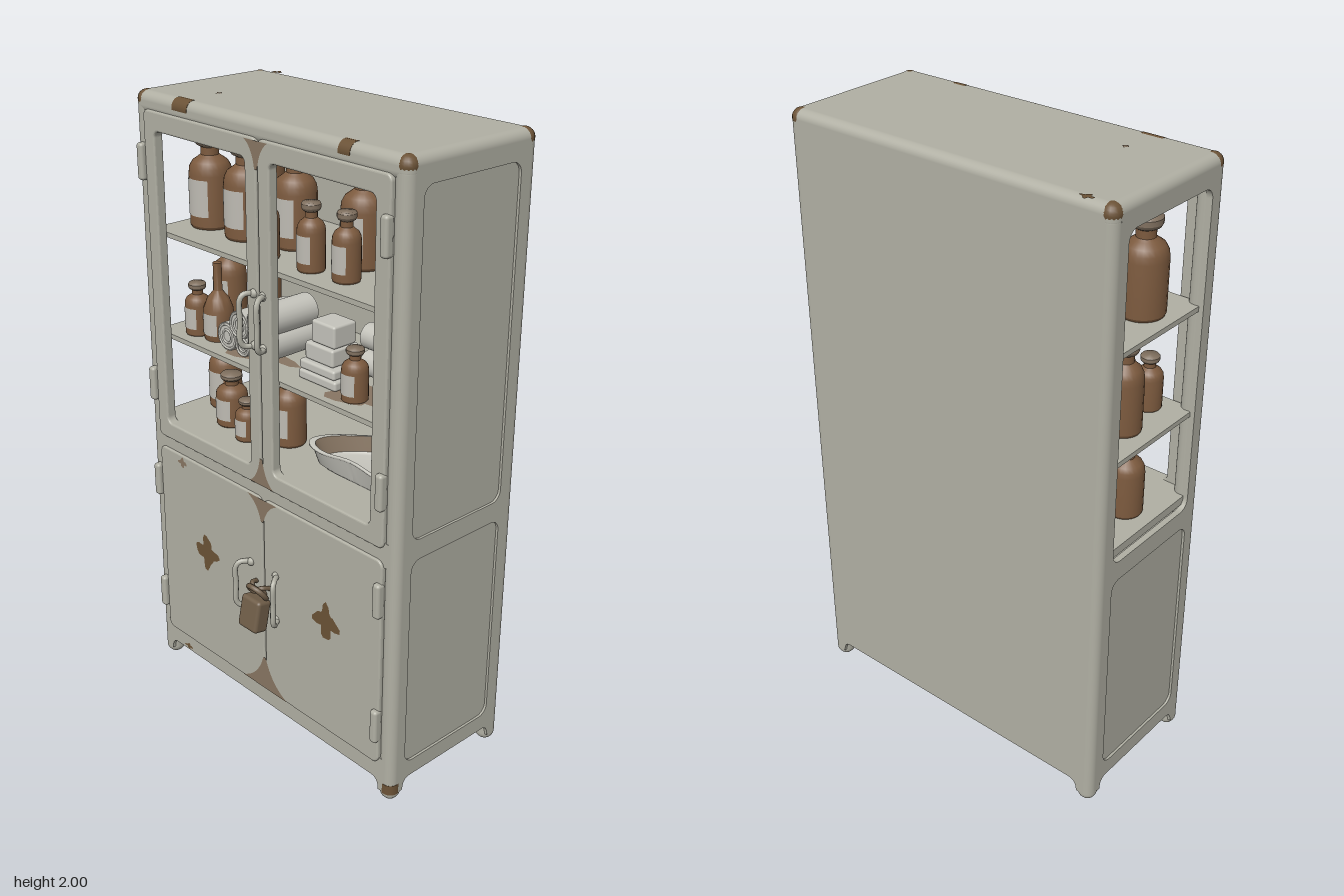
import * as THREE from 'three';
import { RoundedBoxGeometry } from 'three/addons/geometries/RoundedBoxGeometry.js';
import { toCreasedNormals } from 'three/addons/utils/BufferGeometryUtils.js';

const mat = (name, color) => {
  const m = new THREE.MeshStandardMaterial({ color, side: THREE.DoubleSide });
  m.name = name;
  return m;
};
const paint = mat('enamel paint', 0xb0afa3);
const glass = mat('amber glass', 0x7c5a3e);
const cork = mat('stopper', 0x80705f);
const paper = mat('paper label', 0xbdbab2);
const linen = mat('linen', 0xc4c3bb);
const rust = mat('rust', 0x6b5236);
const worn = mat('worn paint', 0x877562);
const brass = mat('old brass', 0x6f5d48);

export function createModel() {
  const root = new THREE.Group();
  root.name = 'medicineCabinet';
  const add = (name, geo, m, x = 0, y = 0, z = 0, parent = root) => {
    const mesh = new THREE.Mesh(geo, m);
    mesh.name = name;
    mesh.position.set(x, y, z);
    parent.add(mesh);
    return mesh;
  };
  const box = (name, m, x0, x1, y0, y1, z0, z1) =>
    add(name, new THREE.BoxGeometry(x1 - x0, y1 - y0, z1 - z0), m, (x0 + x1) / 2, (y0 + y1) / 2, (z0 + z1) / 2);
  const roundRect = (x0, x1, y0, y1, r, C = THREE.Shape) => {
    const s = new C();
    s.absarc(x1 - r, y0 + r, r, -Math.PI / 2, 0);
    s.absarc(x1 - r, y1 - r, r, 0, Math.PI / 2);
    s.absarc(x0 + r, y1 - r, r, Math.PI / 2, Math.PI);
    s.absarc(x0 + r, y0 + r, r, Math.PI, Math.PI * 1.5);
    s.closePath();
    return s;
  };
  // Wall outline with curved brackets running down into the feet
  const apron = (a, b, top) => {
    const s = new THREE.Shape();
    s.moveTo(a, top);
    s.lineTo(a, 0.03);
    s.lineTo(a + 0.024, 0.03);
    s.quadraticCurveTo(a + 0.024, 0.07, a + 0.055, 0.07);
    s.lineTo(b - 0.055, 0.07);
    s.quadraticCurveTo(b - 0.024, 0.07, b - 0.024, 0.03);
    s.lineTo(b, 0.03);
    s.lineTo(b, top);
    s.closePath();
    return s;
  };
  const extrude = (s, depth) => new THREE.ExtrudeGeometry(s, { depth, bevelEnabled: false, curveSegments: 8 });

  // Carcass: corner posts, rounded top, back, floors and shelves
  for (const x of [-0.54, 0.54]) for (const z of [-0.26, 0.18])
    add('cornerPost', new RoundedBoxGeometry(0.06, 1.98, 0.06, 4, 0.028), paint, x, 0.99, z);
  add('top', new RoundedBoxGeometry(1.14, 0.07, 0.5, 5, 0.028), paint, 0, 1.965, -0.04);
  add('back', extrude(apron(-0.541, 0.541, 1.965), 0.02), paint, 0, 0, -0.29);
  add('frontApron', extrude(apron(-0.541, 0.541, 0.15), 0.02), paint, 0, 0, 0.19);
  box('middleRail', paint, -0.54, 0.54, 0.82, 0.9, 0.17, 0.21);
  box('bottom', paint, -0.555, 0.555, 0.08, 0.1, -0.28, 0.2);
  box('cabinetFloor', paint, -0.555, 0.555, 0.91, 0.937, -0.28, 0.19);
  for (const y of [1.222, 1.56]) box('shelf', paint, -0.555, 0.555, y - 0.008, y + 0.008, -0.275, 0.175);

  // Side frames with rounded openings; the upper one on the right stays open
  for (const side of [-1, 1]) {
    const s = apron(-0.181, 0.261, 1.965);
    s.holes.push(roundRect(-0.15, 0.225, 0.9, 1.92, 0.035, THREE.Path));
    s.holes.push(roundRect(-0.15, 0.225, 0.125, 0.835, 0.035, THREE.Path));
    add('sideFrame', extrude(s, 0.02), paint, side > 0 ? 0.55 : -0.57).rotation.y = Math.PI / 2;
    const x = side * 0.552;
    box('lowerSidePanel', paint, x - 0.01, x + 0.01, 0.1, 0.87, -0.26, 0.18);
    if (side > 0) box('upperSidePanel', paint, x - 0.01, x + 0.01, 0.87, 1.95, -0.26, 0.18);
  }

  // Doors, hinges and handles
  const doorOpt = { depth: 0.022, bevelSize: 0.006, bevelThickness: 0.006, bevelOffset: -0.006, bevelSegments: 3, curveSegments: 6 };
  const handle = (s, y, x0, x1) => {
    const h = 0.08, z0 = 0.212, z1 = 0.257;
    const pts = [[x0, -h, z0], [(x0 + 3 * x1) / 4, -h, z1 - 0.012], [x1, -h + 0.016, z1], [x1, 0, z1],
      [x1, h - 0.016, z1], [(x0 + 3 * x1) / 4, h, z1 - 0.012], [x0, h, z0]];
    const c = new THREE.CatmullRomCurve3(pts.map(p => new THREE.Vector3(p[0] * s, p[1], p[2])));
    add('handle', new THREE.TubeGeometry(c, 36, 0.009, 8), paint, 0, y, 0);
    for (const e of [-h, h]) add('handleMount', new THREE.SphereGeometry(0.014, 10, 8), paint, x0 * s, y + e, 0.217);
  };
  for (const s of [-1, 1]) {
    const [a, b] = s < 0 ? [-0.52, -0.003] : [0.003, 0.52];
    const upper = roundRect(a, b, 0.88, 1.95, 0.02);
    upper.holes.push(s < 0 ? roundRect(-0.47, -0.052, 0.937, 1.89, 0.02, THREE.Path)
      : roundRect(0.052, 0.465, 0.937, 1.89, 0.02, THREE.Path));
    add('upperDoor', new THREE.ExtrudeGeometry(upper, doorOpt), paint, 0, 0, 0.19);
    add('lowerDoor', new THREE.ExtrudeGeometry(roundRect(a, b, 0.13, 0.84, 0.025), doorOpt), paint, 0, 0, 0.19);
    for (const y of [1.79, 1.06, 0.71, 0.27])
      add('hinge', new RoundedBoxGeometry(0.028, 0.115, 0.03, 3, 0.01), paint, s < 0 ? -0.53 : 0.509, y, 0.219);
    handle(s, 1.42, 0.02, 0.038);
    handle(s, 0.51, 0.06, 0.09);
  }

  // Padlock hanging on a ring through the hasp
  const lock = new THREE.Group();
  lock.name = 'padlock';
  lock.position.set(0, 0.445, 0.258);
  lock.rotation.x = -0.2;
  root.add(lock);
  add('lockBody', new RoundedBoxGeometry(0.088, 0.11, 0.055, 3, 0.012), brass, 0, 0, 0, lock);
  add('shackle', new THREE.TorusGeometry(0.034, 0.009, 8, 24), brass, 0, 0.07, 0, lock).rotation.x = 0.85;
  for (const s of [-1, 1]) {
    const loop = new THREE.CatmullRomCurve3([[0.035, 0.53, 0.21], [0.024, 0.54, 0.245], [0.01, 0.53, 0.25], [0.008, 0.5, 0.215]]
      .map(p => new THREE.Vector3(p[0] * s, p[1], p[2])));
    add('haspLoop', new THREE.TubeGeometry(loop, 16, 0.008, 7), brass);
  }

  // Bottles: body, stopper and front label
  const lathe = pts => toCreasedNormals(new THREE.LatheGeometry(pts.map(p => new THREE.Vector2(...p)), 24), 0.7);
  const bottleGeo = lathe([[0, 0], [0.94, 0], [1, 0.03], [1, 0.58], [0.96, 0.65], [0.82, 0.71], [0.55, 0.755], [0.42, 0.78], [0.42, 0.87]]);
  const stopperGeo = lathe([[0.4, 0.86], [0.6, 0.885], [0.68, 0.92], [0.68, 0.975], [0.6, 1], [0, 1]]);
  const labelGeo = new THREE.CylinderGeometry(1.02, 1.02, 0.4, 16, 1, true, -0.75, 1.5).translate(0, 0.34, 0);
  const bottle = (x, y, z, r, h) => {
    const g = new THREE.Group();
    g.name = 'bottle';
    g.position.set(x, y, z);
    g.scale.set(r, h, r);
    root.add(g);
    add('bottleBody', bottleGeo, glass, 0, 0, 0, g);
    add('stopper', stopperGeo, cork, 0, 0, 0, g);
    add('label', labelGeo, paper, 0, 0, 0, g);
  };
  const rows = [
    [1.568, [[-0.455, 0.02, 0.068, 0.29], [-0.285, 0.02, 0.068, 0.29], [-0.115, -0.03, 0.066, 0.29], [-0.09, 0.11, 0.042, 0.2],
      [0.155, -0.05, 0.068, 0.29], [0.33, -0.03, 0.068, 0.29], [0.085, 0.09, 0.042, 0.2], [0.22, 0.08, 0.042, 0.2],
      [0.415, 0.1, 0.042, 0.2], [-0.42, -0.17, 0.066, 0.29]]],
    [1.23, [[-0.46, -0.05, 0.055, 0.28], [-0.44, 0.1, 0.042, 0.17], [0.28, 0.1, 0.04, 0.16], [0.4, 0.03, 0.055, 0.235], [-0.45, -0.19, 0.055, 0.25]]],
    [0.937, [[-0.46, -0.02, 0.055, 0.24], [-0.33, 0.06, 0.052, 0.175], [-0.205, 0.1, 0.04, 0.135], [-0.095, 0.02, 0.055, 0.24]]],
  ];
  for (const [y, list] of rows) for (const [x, z, r, h] of list) bottle(x, y, z, r, h);

  // Slim bottle with a long neck
  add('slimBottle', lathe([[0, 0], [0.045, 0], [0.048, 0.01], [0.048, 0.1], [0.035, 0.135], [0.014, 0.16], [0.014, 0.25], [0, 0.255]]), glass, -0.36, 1.23, 0.08);
  add('label', new THREE.CylinderGeometry(0.0495, 0.0495, 0.07, 16, 1, true, -0.75, 1.5), paper, -0.36, 1.285, 0.08);

  // Rolled bandages and folded gauze
  const roll = (x, y, z, r, len) => {
    const g = new THREE.Group();
    g.name = 'bandageRoll';
    g.position.set(x, y, z);
    root.add(g);
    add('rollBody', new THREE.CylinderGeometry(r, r, len, 22), linen, 0, 0, 0, g).rotation.x = Math.PI / 2;
    for (const k of [0.85, 0.45]) add('rollLayer', new THREE.TorusGeometry(r * k, 0.004, 6, 22), linen, 0, 0, len / 2, g);
    return g;
  };
  for (const [x, y, r] of [[-0.258, 1.276, 0.046], [-0.2, 1.328, 0.046], [-0.108, 1.36, 0.051], [-0.108, 1.282, 0.051], [-0.185, 1.262, 0.032]])
    roll(x, y, 0.03, r, 0.2);
  for (const y of [1.27, 1.355]) roll(0.26, y, -0.06, 0.04, 0.17).rotation.y = Math.PI / 2;
  [[0.13, 0.16, 0.03], [0.125, 0.15, 0.03], [0.12, 0.12, 0.055], [0.127, 0.1, 0.07]].reduce((y, [x, w, h]) => {
    add('foldedGauze', new RoundedBoxGeometry(w, h, w * 0.9, 2, 0.008), linen, x, y + h / 2, 0.04);
    return y + h;
  }, 1.23);

  // Kidney dish: turned profile bent along x
  const dish = (name, pts, m) => {
    const g = new THREE.LatheGeometry(pts.map(p => new THREE.Vector2(...p)), 48);
    const p = g.attributes.position;
    for (let i = 0; i < p.count; i++) {
      const x = p.getX(i), z = p.getZ(i);
      p.setXYZ(i, x * 0.2, p.getY(i) + (p.getY(i) > 0.05 ? 0.006 * Math.cos(x * 5) : 0), z * 0.11 + 0.07 * x * x - 0.03);
    }
    g.computeVertexNormals();
    add(name, g, m, 0.257, 0.938, 0.01);
  };
  dish('dishShell', [[0, 0], [0.82, 0], [0.9, 0.012], [0.97, 0.062], [1.02, 0.068], [1.02, 0.074], [0.94, 0.074]], linen);
  dish('dishInnerWall', [[0.94, 0.074], [0.86, 0.02]], worn);
  dish('dishInnerFloor', [[0.86, 0.02], [0.78, 0.012], [0, 0.012]], linen);

  // Rust: ragged flat patches on the front, top and shelves
  const blot = (name, m, x, y, z, rx, ry, seed, flat) => {
    const s = new THREE.Shape();
    for (let i = 0; i < 28; i++) {
      const t = i / 28 * Math.PI * 2;
      const r = 0.72 + 0.22 * Math.cos(4 * t) + 0.1 * Math.sin(7 * t + seed);
      s[i ? 'lineTo' : 'moveTo'](Math.cos(t) * r * rx, Math.sin(t) * r * ry);
    }
    const b = add(name, new THREE.ShapeGeometry(s), m, x, y, z);
    if (flat) b.rotation.x = -Math.PI / 2;
  };
  blot('doorRust', rust, -0.285, 0.525, 0.2195, 0.065, 0.07, 1);
  blot('doorRust', rust, 0.29, 0.53, 0.2195, 0.065, 0.07, 3);
  blot('topRust', rust, -0.475, 2.0012, -0.275, 0.025, 0.018, 2, true);
  blot('topRust', worn, -0.345, 2.0012, 0.065, 0.012, 0.012, 2, true);
  blot('doorRust', worn, -0.4, 0.815, 0.2195, 0.025, 0.02, 4);
  blot('frameRust', rust, -0.42, 0.085, 0.2115, 0.025, 0.012, 4);
  blot('shelfStain', worn, -0.2, 1.2315, 0.06, 0.2, 0.1, 2, true);
  blot('shelfStain', worn, 0.25, 1.2315, 0.08, 0.2, 0.08, 2, true);

  // Worn triangles where the door corners meet
  for (const [y, h, w] of [[1.944, -0.08, 0.05], [0.885, 0.09, 0.055], [0.837, -0.08, 0.07], [0.134, 0.12, 0.11]]) {
    const s = new THREE.Shape();
    s.moveTo(-w, y);
    s.lineTo(w, y);
    s.quadraticCurveTo(w * 0.3, y + h * 0.25, 0.006, y + h);
    s.lineTo(-0.006, y + h);
    s.quadraticCurveTo(-w * 0.3, y + h * 0.25, -w, y);
    add('cornerWear', new THREE.ShapeGeometry(s), worn, 0, 0, 0.2195);
  }

  // Chipped corners and top front edge
  for (const [x, z] of [[-0.542, -0.262], [0.542, -0.262], [-0.542, 0.182], [0.542, 0.182]])
    add('chippedCorner', new THREE.SphereGeometry(0.0292, 16, 12), rust, x, 1.972, z);
  for (const [x, w] of [[-0.35, 0.07], [0.34, 0.045]])
    add('chippedEdge', new THREE.CylinderGeometry(0.029, 0.029, w, 20), rust, x, 1.972, 0.182).rotation.z = Math.PI / 2;
  add('chippedFoot', new THREE.CylinderGeometry(0.0292, 0.0292, 0.035, 20), rust, 0.542, 0.045, 0.182);
  return root;
}
